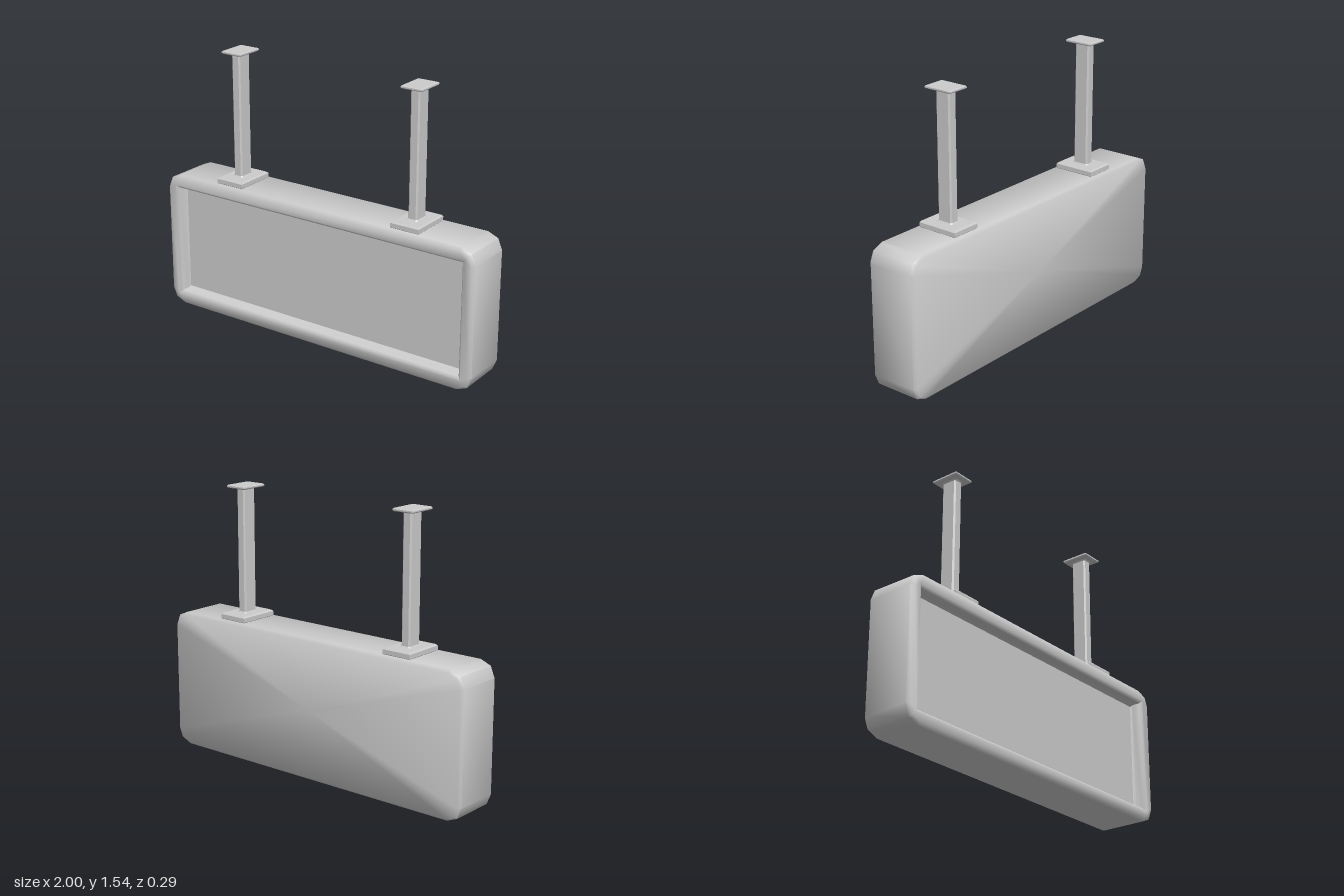
import * as THREE from 'three';
import { toCreasedNormals } from 'three/addons/utils/BufferGeometryUtils.js';

const material = new THREE.MeshStandardMaterial({ color: 0xcccccc });

// Counter-clockwise rounded rectangle at height z; r = 0 gives square corners
function ring({ w, h, r, z, seg }) {
  const points = [];
  const corners = [[1, 1], [-1, 1], [-1, -1], [1, -1]];
  corners.forEach(([sx, sy], i) => {
    for (let k = 0; k <= seg; k++) {
      const a = (i + k / seg) * Math.PI / 2;
      points.push(new THREE.Vector3(
        sx * (w / 2 - r) + r * Math.cos(a),
        sy * (h / 2 - r) + r * Math.sin(a), z));
    }
  });
  return points;
}

// Skin a list of sections and close both ends
function loft(sections, seg, crease = 0.5) {
  const rings = sections.map(([w, h, r, z]) => ring({ w, h, r, z, seg }));
  const positions = [];
  const tri = (a, b, c) => {
    const area = b.clone().sub(a).cross(c.clone().sub(a)).length();
    if (area > 1e-9) for (const p of [a, b, c]) positions.push(p.x, p.y, p.z);
  };
  const n = rings[0].length;
  for (let j = 0; j < rings.length - 1; j++) {
    for (let i = 0; i < n; i++) {
      const k = (i + 1) % n;
      tri(rings[j][i], rings[j][k], rings[j + 1][k]);
      tri(rings[j][i], rings[j + 1][k], rings[j + 1][i]);
    }
  }
  const first = rings[0], last = rings[rings.length - 1];
  const c0 = new THREE.Vector3(0, 0, first[0].z);
  const c1 = new THREE.Vector3(0, 0, last[0].z);
  for (let i = 0; i < n; i++) {
    const k = (i + 1) % n;
    tri(c0, first[k], first[i]);
    tri(c1, last[i], last[k]);
  }
  const geometry = new THREE.BufferGeometry();
  geometry.setAttribute('position', new THREE.Float32BufferAttribute(positions, 3));
  return toCreasedNormals(geometry, crease);
}

function part(name, geometry) {
  const mesh = new THREE.Mesh(geometry, material);
  mesh.name = name;
  return mesh;
}

// Plate lying flat with bevelled edges, from y0 to y1
function plate(name, w, d, y0, y1, b) {
  const g = loft([
    [w - 2 * b, d - 2 * b, 0, y0],
    [w, d, 0, y0 + b],
    [w, d, 0, y1 - b],
    [w - 2 * b, d - 2 * b, 0, y1],
  ], 1);
  return part(name, g.rotateX(-Math.PI / 2));
}

export function createModel() {
  const model = new THREE.Group();
  model.name = 'hangingSign';

  // Housing: bevelled rounded box whose front steps back into a framed recess
  const W = 2, H = 0.79, D = 0.147, b = 0.015, R = 0.085;
  const housing = part('housing', loft([
    [W - 2 * b, H - 2 * b, R - b, -D],
    [W, H, R, -D + b],
    [W, H, R, D - b],
    [W - 2 * b, H - 2 * b, R - b, D],
    [1.88, 0.665, 0, D],
    [1.85, 0.635, 0, D - 0.015],
    [1.85, 0.635, 0, D - 0.055],
    [1.83, 0.612, 0, D - 0.07],
  ], 2, 0.85));
  housing.position.y = H / 2;
  model.add(housing);

  // Two hangers: foot plate, chamfered post flared at both ends, ceiling plate
  for (const side of [-1, 1]) {
    const hanger = new THREE.Group();
    hanger.name = side > 0 ? 'leftHanger' : 'rightHanger';
    hanger.position.x = side * 0.57;
    const post = part('post', loft([
      [0.068, 0.104, 0.008, 0.815],
      [0.068, 0.104, 0.008, 0.823],
      [0.055, 0.09, 0.008, 0.832],
      [0.055, 0.09, 0.008, 1.516],
      [0.066, 0.102, 0.008, 1.526],
      [0.066, 0.102, 0.008, 1.532],
    ], 1).rotateX(-Math.PI / 2));
    hanger.add(
      plate('footPlate', 0.172, 0.24, 0.785, 0.825, 0.008),
      post,
      plate('ceilingPlate', 0.125, 0.164, 1.524, 1.541, 0.005),
    );
    model.add(hanger);
  }
  return model;
}
